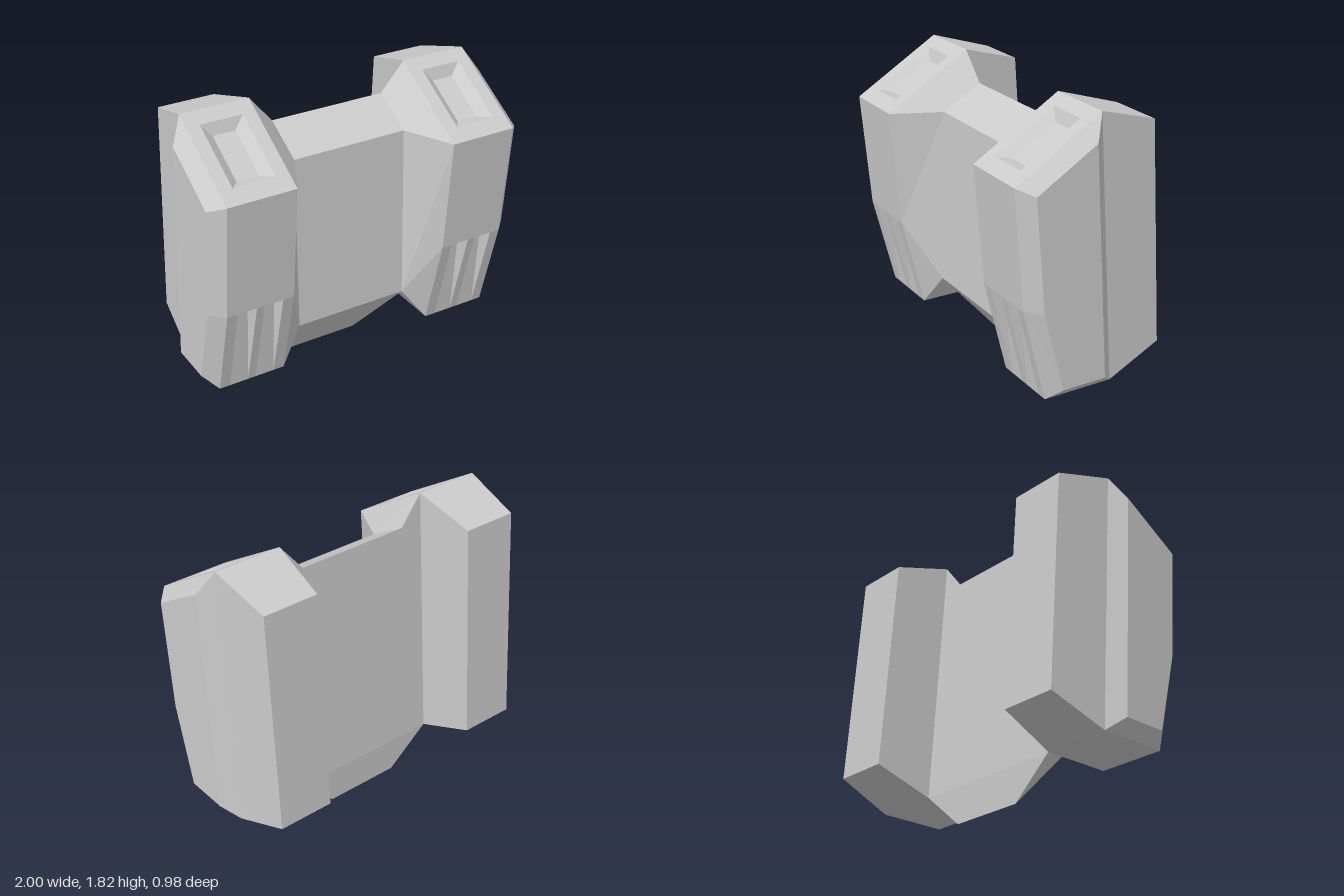
import * as THREE from 'three';

const material = new THREE.MeshStandardMaterial({ color: 0xcccccc, flatShading: true });

// A face is a list of corners plus a reference point; it is wound to look
// away from that point (sign 1) or towards it (sign -1).
function face(ref, corners, sign = 1) {
  return { ref, corners, sign };
}

// Flat-faced mesh from a list of faces; sides of -1 mirror them across x = 0.
function facetedMesh(name, faces, sides) {
  const positions = [];
  for (const side of sides) {
    for (const { ref, corners, sign } of faces) {
      const place = ([x, y, z]) => new THREE.Vector3(x * side, y, z);
      const pts = corners.map(place);
      const normal = new THREE.Vector3();
      const centre = new THREE.Vector3();
      pts.forEach((p, i) => {
        normal.add(p.clone().cross(pts[(i + 1) % pts.length]));
        centre.addScaledVector(p, 1 / pts.length);
      });
      if (normal.dot(centre.sub(place(ref))) * sign < 0) pts.reverse();
      for (let i = 1; i < pts.length - 1; i++) {
        for (const p of [pts[0], pts[i], pts[i + 1]]) positions.push(p.x, p.y, p.z);
      }
    }
  }
  const geometry = new THREE.BufferGeometry();
  geometry.setAttribute('position', new THREE.Float32BufferAttribute(positions, 3));
  geometry.computeVertexNormals();
  const mesh = new THREE.Mesh(geometry, material);
  mesh.name = name;
  return mesh;
}

// Side profiles as [y, z]: peak, front top, front bend, front bottom, back bottom
const MAIN = [[1.815, -0.035], [1.495, 0.49], [0.79, 0.43], [0.225, 0.29], [0.225, -0.14]];
const OUTER = [[1.675, 0.04], [1.455, 0.405], [0.79, 0.35], [0.3, 0.22], [0.3, -0.05]];
const REAR = [[1.705, -0.4], [0.36, -0.49]];
const IN = 0.505, OUT = 0.92, EDGE = 1;
const POD_CORE = [0.71, 1, 0.1];
const BODY_CORE = [0, 0.9, 0.05];

const at = (x, [y, z]) => [x, y, z];
const inner = MAIN.map((p) => at(IN, p));
const outer = MAIN.map((p) => at(OUT, p));
const edge = OUTER.map((p) => at(EDGE, p));

// Quads joining two equal rings of corners
function joinRings(ref, a, b, sign = 1) {
  return a.map((p, i) => {
    const j = (i + 1) % a.length;
    return face(ref, [p, a[j], b[j], b[i]], sign);
  });
}

// Sloped pod top with a bevelled rectangular recess
function topFaces() {
  const [[y0, z0], [y1, z1]] = MAIN;
  const len = Math.hypot(y1 - y0, z1 - z0);
  const on = (x, t, depth) => [
    x,
    y0 + (y1 - y0) * t - (depth * (z1 - z0)) / len,
    z0 + (z1 - z0) * t + (depth * (y1 - y0)) / len,
  ];
  const rect = (xa, xb, ta, tb, d) => [on(xa, ta, d), on(xb, ta, d), on(xb, tb, d), on(xa, tb, d)];
  const rim = rect(IN, OUT, 0, 1, 0);
  const mouth = rect(0.585, 0.84, 0.15, 0.835, 0);
  const floor = rect(0.645, 0.78, 0.245, 0.74, 0.048);
  const above = on(0.712, 0.49, -0.02);
  return [
    ...joinRings(POD_CORE, rim, mouth),
    ...joinRings(above, mouth, floor, -1),
    face(above, floor, -1),
  ];
}

// Lower front with two wedge grooves that run out at the bottom edge
function grooveFaces() {
  const top = (x) => at(x, MAIN[2]);
  const bottom = (x) => at(x, MAIN[3]);
  const faces = [];
  const xs = [IN, 0.572, 0.69, 0.738, 0.856, OUT];
  for (let i = 0; i < 5; i++) {
    const a = xs[i], b = xs[i + 1];
    if (i % 2 === 0) {
      faces.push(face(POD_CORE, [top(a), top(b), bottom(b), bottom(a)]));
      continue;
    }
    const mouth = [(a + b) / 2, 0.6, 0.39];
    const fa = [a + 0.017, 0.745, 0.35];
    const fb = [b - 0.017, 0.745, 0.35];
    faces.push(
      face(mouth, [top(a), top(b), fb, fa], -1),
      face(mouth, [fa, fb, bottom(b), bottom(a)], -1),
      face(mouth, [top(a), fa, bottom(a)], -1),
      face(mouth, [top(b), fb, bottom(b)], -1),
    );
  }
  return faces;
}

function podFaces() {
  return [
    ...topFaces(),
    face(POD_CORE, [inner[1], outer[1], outer[2], inner[2]]),
    ...grooveFaces(),
    face(POD_CORE, [inner[3], outer[3], outer[4], inner[4]]),
    ...joinRings(POD_CORE, outer, edge),
    face(POD_CORE, edge),
  ];
}

// Tapered block behind each pod
function rearFaces() {
  const a = [inner[0], ...REAR.map((p) => at(0.54, p)), inner[4]];
  const b = [outer[0], ...REAR.map((p) => at(0.885, p)), outer[4]];
  const core = [0.71, 1, -0.15];
  return [...joinRings(core, a, b).slice(0, 3), face(core, a), face(core, b)];
}

// Half of the centre panel, with the bevels that lead out to the pod
function bodyFaces() {
  const topBack = [0.36, 1.64, -0.045];
  const topFront = [0.36, 1.5, 0.2];
  const lowFront = [0.36, 0.425, 0.23];
  const keel = [0.24, 0, -0.135];
  const [peak, front, bend, low, back] = inner;
  const mid = ([, y, z]) => [0, y, z];
  const span = (p, q) => face(BODY_CORE, [p, q, mid(q), mid(p)]);
  return [
    span(topBack, topFront),
    span(topFront, lowFront),
    span(lowFront, keel),
    span(keel, back),
    span(back, topBack),
    face(BODY_CORE, [topBack, peak, back]),
    face(BODY_CORE, [back, lowFront, keel]),
    face(POD_CORE, [peak, front, topFront, topBack]),
    face(POD_CORE, [topFront, front, bend, lowFront]),
    face(POD_CORE, [bend, low, lowFront]),
    face(POD_CORE, [low, back, lowFront]),
  ];
}

export function createModel() {
  const model = new THREE.Group();
  model.name = 'twinPodPack';
  model.add(facetedMesh('centrePanel', bodyFaces(), [1, -1]));
  for (const [label, side] of [['left', 1], ['right', -1]]) {
    model.add(facetedMesh(label + 'Pod', podFaces(), [side]));
    model.add(facetedMesh(label + 'RearBlock', rearFaces(), [side]));
  }
  return model;
}
